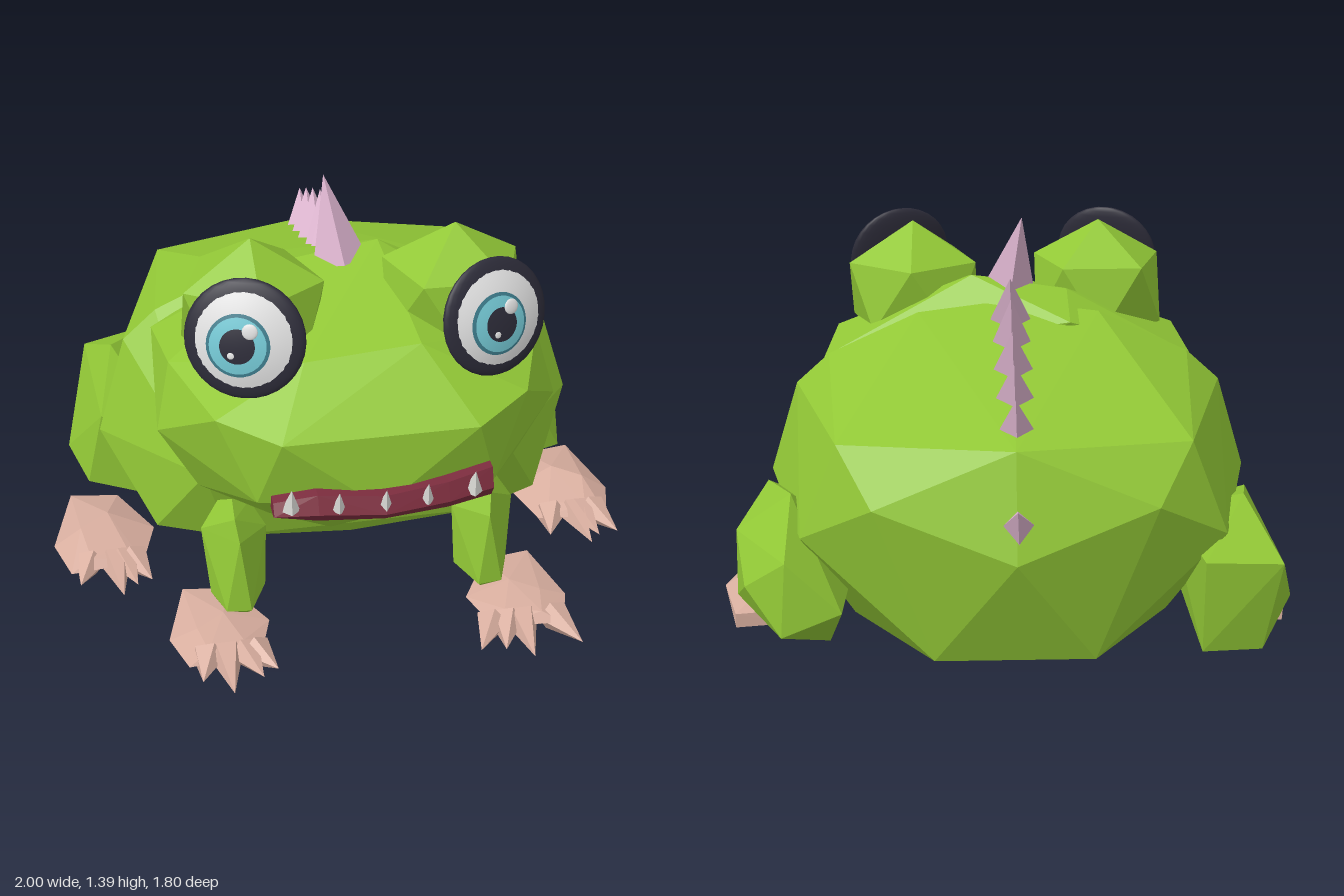
import * as THREE from 'three';
import { ConvexGeometry } from 'three/addons/geometries/ConvexGeometry.js';

const mat = (name, color) => {
  const m = new THREE.MeshStandardMaterial({ color });
  m.name = name;
  return m;
};

export function createModel() {
  const root = new THREE.Group();
  root.name = 'frog';
  const green = mat('green skin', 0x92c836), flesh = mat('pink feet', 0xd8ae9f), horn = mat('lilac spikes', 0xdab2cc),
    lip = mat('dark red lips', 0x7c2d3e), tooth = mat('ivory teeth', 0xdcdcd8), dark = mat('eye black', 0x2c2b38),
    white = mat('eye white', 0xe2e2e2), iris = mat('iris blue', 0x74c8d4), irisEdge = mat('iris edge', 0x3d7c8c);

  const add = (name, geo, material, parent = root) => {
    const m = new THREE.Mesh(geo, material);
    m.name = name;
    parent.add(m);
    return m;
  };
  // Faceted solid around corner points; s = -1 mirrors it
  const hull = (name, pts, material, s = 1, parent = root) =>
    add(name, new ConvexGeometry(pts.map(([x, y, z]) => new THREE.Vector3(x * s, y, z))), material, parent);
  // Points on both sides of the middle plane
  const both = (pts) => pts.flatMap(([x, y, z]) => (x ? [[x, y, z], [-x, y, z]] : [[x, y, z]]));
  // Flat-sided cone from a base centre to a tip
  const spike = (name, base, tip, r, sides, material, parent = root) => {
    const a = new THREE.Vector3(...base), d = new THREE.Vector3(...tip).sub(a), h = d.length();
    const geo = new THREE.ConeGeometry(r, h, sides).translate(0, h / 2, 0).toNonIndexed();
    geo.computeVertexNormals();
    const m = add(name, geo, material, parent);
    m.position.copy(a);
    m.quaternion.setFromUnitVectors(new THREE.Vector3(0, 1, 0), d.normalize());
  };

  // Body and head
  hull('body', both([
    [0, 1.12, 0.03], [0.3, 1.09, 0], [0.6, 0.95, 0], [0.71, 0.85, 0], [0.81, 0.53, 0.03], [0.65, 0.27, 0.25],
    [0.54, 0.86, -0.63], [0, 0.88, -0.76], [0.43, 0.7, -0.77], [0, 0.56, -0.87], [0.66, 0.55, -0.62],
    [0.25, 0.18, -0.73], [0.52, 0.14, -0.3], [0, 0.03, -0.36], [0, 0.2, 0.3], [0.42, 0.26, 0.34], [0.5, 0.56, 0.42],
  ]), green);
  hull('head', [
    ...both([
      [0.62, 0.92, 0.06], [0.59, 0.95, 0.35], [0.64, 0.75, 0.42], [0.48, 0.9, 0.64], [0.3, 0.87, 0.77],
      [0.37, 0.64, 0.71], [0, 0.63, 0.79], [0.33, 0.57, 0.67], [0.52, 0.53, 0.42], [0.6, 0.58, 0.08],
    ]),
    [0.12, 1.19, 0.1], [-0.2, 1.14, 0.1], [-0.2, 1.08, -0.1], [0.16, 1.06, 0.57], [-0.2, 1.03, 0.57],
    [-0.1, 0.34, 0.46], [0.15, 0.37, 0.44],
  ], green);

  // Curved lips: x, y, z, half height
  const mouth = [
    [-0.33, 0.645, 0.755, 0.025], [-0.2, 0.66, 0.79, 0.045], [0, 0.655, 0.815, 0.04], [0.2, 0.66, 0.79, 0.045],
    [0.345, 0.67, 0.755, 0.05],
  ];
  for (let i = 0; i < 4; i++) {
    const ends = [mouth[i], mouth[i + 1]].flatMap(([x, y, z, h]) =>
      [[x, y + h, z + 0.01], [x, y - h, z + 0.01], [x, y - 0.01, z + 0.035], [x, y + h, z - 0.06], [x, y - h, z - 0.06]]);
    hull('lip', ends, lip);
  }
  for (const [x, z, h, r] of [[-0.28, 0.79, 0.08, 0.028], [-0.14, 0.815, 0.07, 0.022], [0, 0.825, 0.07, 0.022],
    [0.13, 0.815, 0.07, 0.022], [0.28, 0.79, 0.08, 0.028]])
    spike('tooth', [x, 0.66, z], [x, 0.66 + h, z + 0.02], r, 5, tooth);

  // Back spikes, front to rear: base y, base z, tip y, tip z, radius
  for (const [by, bz, ty, tz, r] of [
    [1.13, 0.12, 1.4, 0.035, 0.09], [1.05, -0.05, 1.25, -0.18, 0.08], [1.01, -0.18, 1.21, -0.28, 0.075],
    [0.97, -0.33, 1.15, -0.43, 0.075], [0.93, -0.48, 1.09, -0.57, 0.07], [0.88, -0.63, 1.025, -0.715, 0.065],
    [0.66, -0.81, 0.745, -0.9, 0.055],
  ]) spike('backSpike', [-0.005, by, bz], [r > 0.085 ? -0.045 : 0, ty, tz], r, 4, horn);

  // Domed eye layers
  const dome = (r) => 0.034 * (1 - (r / 0.16) ** 2);
  const cap = (name, r, lift, material, parent) => {
    const pts = [];
    for (let i = 6; i >= 0; i--) pts.push(new THREE.Vector2((r * i) / 6, dome((r * i) / 6) + lift));
    return add(name, new THREE.LatheGeometry(pts, 32).rotateX(Math.PI / 2), material, parent);
  };

  // Foot: thick faceted palm with fanned claws
  const foot = (name, cx, cz, w, l, top, claws, s) => {
    const g = new THREE.Group();
    g.name = name;
    root.add(g);
    const P = (x, y, z) => [cx + x * w, y, cz + z * l];
    hull('palm', [
      P(-0.35, 0.1, -0.85), P(0.6, 0.1, -0.95), P(-0.4, 0.05, -0.85), P(0.6, 0.05, -0.95), P(-1, 0.08, -0.1), P(1, 0.08, 0.1),
      P(-0.7, 0.08, 0.65), P(0.7, 0.08, 0.75), P(-0.1, top, -0.15), P(0.45, top - 0.01, 0.1), P(-0.4, 0.11, 0.45),
      P(0.3, 0.11, 0.6), P(0, 0.02, 0), P(0.5, 0.03, 0.4), P(-0.5, 0.03, 0.4),
    ], flesh, s, g);
    for (const [x, z] of claws) {
      const b = P((x - cx) / w * 0.62, 0.08, 0.5);
      spike('claw', [b[0] * s, 0.075, b[2]], [x * s, 0.07, z], 0.055, 5, flesh, g);
    }
  };

  for (const s of [1, -1]) {
    const side = s > 0 ? 'left' : 'right';

    // Brow lump behind the eye
    const lump = new THREE.IcosahedronGeometry(0.24, 0).rotateZ(-0.5536).rotateY(0.3 * s).scale(1.06, 1, 1);
    add(side + 'EyeLump', lump, green).position.set(0.32 * s, 1.09, 0.31);

    // Eye
    const eye = new THREE.Group();
    eye.name = side + 'Eye';
    eye.position.set(0.378 * s, 1.142, 0.59);
    eye.lookAt(0.378 * s + 0.32 * s, 1.142 + 0.24, 0.59 + 0.92);
    root.add(eye);
    add('eyeBack', new THREE.SphereGeometry(0.183, 32, 16).scale(1, 1, 0.18), dark, eye);
    cap('eyeWhite', 0.157, 0.014, white, eye);
    const layers = [['irisEdge', 0.096, 0.018, irisEdge], ['iris', 0.086, 0.021, iris], ['pupil', 0.053, 0.024, dark]];
    for (const [name, r, lift, material] of layers)
      cap(name, r, lift, material, eye).position.set(-0.012, -0.012, 0);
    for (const [x, y, r] of [[0.025, 0.036, 0.024], [-0.03, -0.04, 0.011]])
      add('glint', new THREE.SphereGeometry(r, 16, 8).scale(1, 1, 0.25), white, eye).position.set(x, y, 0.056);

    // Front leg
    hull(side + 'FrontLeg', [
      [0.42, 0.49, 0.46], [0.36, 0.45, 0.42], [0.46, 0.45, 0.4], [0.42, 0.45, 0.52], [0.31, 0.36, 0.44], [0.52, 0.36, 0.42],
      [0.41, 0.38, 0.555], [0.42, 0.34, 0.33], [0.32, 0.14, 0.46], [0.5, 0.13, 0.46], [0.38, 0.12, 0.57], [0.46, 0.12, 0.56],
      [0.46, 0.11, 0.36], [0.36, 0.12, 0.38], [0.44, 0.005, 0.45],
    ], green, s);
  }

  // Thighs, posed slightly differently
  hull('leftThigh', [
    [0.72, 0.45, 0], [0.58, 0.2, 0], [0.84, 0.22, -0.06], [0.8, 0.57, -0.18], [0.7, 0.63, -0.45], [0.7, 0.51, -0.72],
    [0.89, 0.47, -0.36], [0.9, 0.23, -0.34], [0.84, 0.38, -0.6], [0.72, 0.26, -0.72], [0.6, 0.07, -0.37],
    [0.53, 0.35, -0.74], [0.5, 0.35, -0.1],
  ], green);
  hull('rightThigh', [
    [0.92, 0.22, -0.38], [0.86, 0.22, -0.13], [0.8, 0.5, -0.1], [0.74, 0.6, -0.42], [0.83, 0.47, -0.68],
    [0.78, 0.17, -0.66], [0.58, 0.5, -0.73], [0.58, 0.2, -0.73], [0.62, 0.08, -0.45], [0.58, 0.16, -0.06], [0.55, 0.4, -0.04],
  ], green, -1);

  // Feet
  foot('leftFrontFoot', 0.5, 0.6, 0.165, 0.22, 0.125, [[0.32, 0.84], [0.4, 0.85], [0.48, 0.9], [0.65, 0.86]], 1);
  foot('rightFrontFoot', 0.49, 0.6, 0.165, 0.22, 0.125, [[0.33, 0.81], [0.38, 0.84], [0.48, 0.9], [0.57, 0.83]], -1);
  foot('leftRearFoot', 0.825, 0.02, 0.175, 0.26, 0.155, [[0.72, 0.28], [0.85, 0.35], [0.89, 0.31], [0.96, 0.3]], 1);
  foot('rightRearFoot', 0.825, 0.02, 0.175, 0.26, 0.155, [[0.68, 0.28], [0.73, 0.3], [0.78, 0.35], [0.92, 0.27]], -1);
  return root;
}
